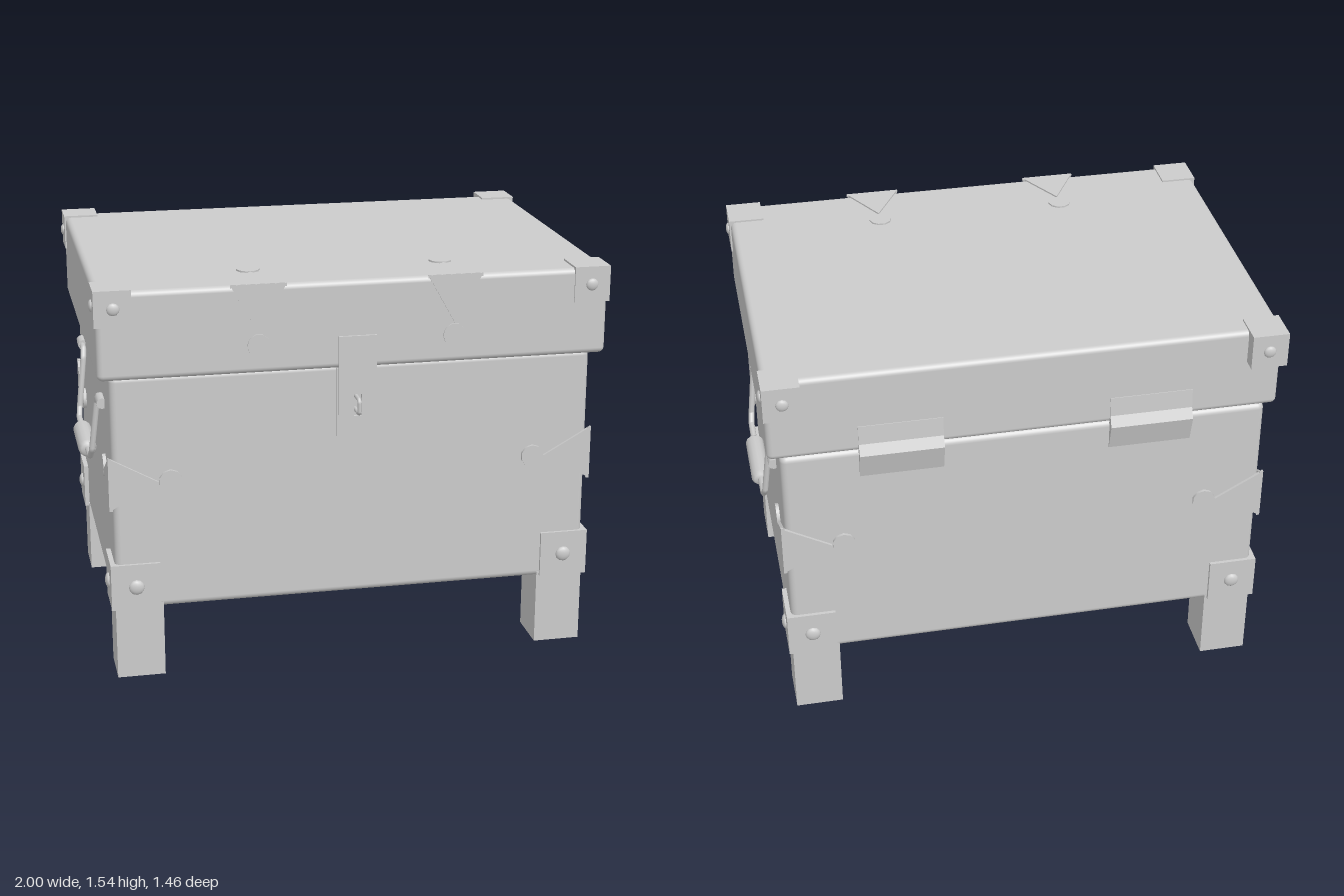
import * as THREE from 'three';
import { RoundedBoxGeometry } from 'three/addons/geometries/RoundedBoxGeometry.js';

const mat = new THREE.MeshStandardMaterial({ color: 0xcccccc, roughness: 0.7 });
const flat = new THREE.MeshStandardMaterial({ color: 0xcccccc, roughness: 0.7, flatShading: true });
const V = (x, y, z) => new THREE.Vector3(x, y, z);

export function createModel() {
  const root = new THREE.Group();
  root.name = 'chest';

  const add = (name, geo, pos = [0, 0, 0], material = mat, parent = root) => {
    const m = new THREE.Mesh(geo, material);
    m.name = name;
    m.position.set(...pos);
    parent.add(m);
    return m;
  };
  // Axis-aligned box given by its minimum and maximum corners
  const span = (name, a, b, radius = 0) => {
    const s = a.map((v, i) => Math.abs(b[i] - v));
    const geo = radius ? new RoundedBoxGeometry(...s, 3, radius) : new THREE.BoxGeometry(...s);
    return add(name, geo, a.map((v, i) => (v + b[i]) / 2));
  };
  const plate = (points, depth) => new THREE.ExtrudeGeometry(
    new THREE.Shape(points.map(p => new THREE.Vector2(...p))), { depth, bevelEnabled: false });

  // Main volumes
  span('body', [-0.92, 0.28, -0.665], [0.92, 1.205, 0.63], 0.025);
  span('lid', [-0.965, 1.2, -0.665], [0.965, 1.535, 0.675], 0.022);

  // Domed rivet whose pole points along dir
  const rivetGeo = new THREE.SphereGeometry(1, 12, 5, 0, Math.PI * 2, 0, Math.PI / 2);
  const rivet = (pos, dir, r) => {
    const m = add('rivet', rivetGeo, pos);
    m.scale.set(r, r * 0.5, r);
    m.quaternion.setFromUnitVectors(V(0, 1, 0), dir);
  };

  // Strap ornament: triangle with a disc beyond its tip, lying on a face
  const triGeo = plate([[0, -0.105], [0.187, 0], [0, 0.105]], 0.013);
  const discGeo = new THREE.CylinderGeometry(0.044, 0.044, 0.013, 10).rotateX(Math.PI / 2);
  const strap = (pos, dir, normal) => {
    const g = new THREE.Group();
    g.name = 'strapOrnament';
    add('strapTriangle', triGeo, [0, 0, 0], flat, g);
    add('strapDisc', discGeo, [0.233, 0, 0.0065], mat, g);
    g.quaternion.setFromRotationMatrix(
      new THREE.Matrix4().makeBasis(dir, normal.clone().cross(dir), normal));
    g.position.set(...pos);
    root.add(g);
  };

  for (const s of [-1, 1]) {
    for (const f of [1, -1]) {
      const front = f > 0;
      const out = V(0, 0, f), side = V(s, 0, 0);

      // Legs and body corner caps
      const legZ = front ? [0.445, 0.63] : [-0.665, -0.48];
      span('leg', [s * 0.74, 0, legZ[0]], [s * 0.923, 0.3, legZ[1]]);
      const capZ = front ? [0.457, 0.641] : [-0.678, -0.494];
      span('bodyCornerCap', [s * 0.75, 0.284, capZ[0]], [s * 0.938, 0.465, capZ[1]]);
      rivet([s * 0.842, 0.373, front ? 0.641 : -0.678], out, 0.03);
      rivet([s * 0.938, 0.373, front ? 0.547 : -0.582], side, 0.03);

      // Lid corner caps
      const lidZ = front ? [0.538, 0.681] : [-0.718, -0.582];
      span('lidCornerCap', [s * 0.833, 1.405, lidZ[0]], [s * 0.971, 1.542, lidZ[1]]);
      rivet([s * 0.9, 1.473, front ? 0.681 : -0.718], out, 0.024);
      rivet([s * 0.971, 1.473, front ? 0.61 : -0.645], side, 0.024);

      // Straps wrapping the upright edges
      const edgeZ = front ? 0.641 : -0.676;
      strap([s * 0.935, 0.79, edgeZ - f * 0.013], V(-s, 0, 0), out);
      strap([s * 0.922, 0.79, edgeZ], V(0, 0, -f), side);
    }

    // Straps wrapping the front edge of the lid
    strap([s * 0.37, 1.54, 0.668], V(0, -1, 0), V(0, 0, 1));
    strap([s * 0.37, 1.528, 0.68], V(0, 0, -1), V(0, 1, 0));

    // Folded hinge leaf: profile in (z, y), run along x
    const hinge = plate([[0.66, 1.31], [0.668, 1.31], [0.674, 1.235], [0.695, 1.195],
      [0.668, 1.09], [0.66, 1.09]], 0.315);
    hinge.rotateY(Math.PI / 2).translate(-0.1575, 0, 0);
    add('hinge', hinge, [s * 0.472, 0, 0], flat);

    // Side handle: bent bar, two sockets and a grip, centred on the body depth
    const handle = new THREE.Group();
    handle.name = 'handle';
    handle.position.set(0, 0, -0.018);
    root.add(handle);
    for (const f of [-1, 1]) {
      const bar = new THREE.CurvePath();
      const pts = [[0.932, 1.04, 0.38], [0.932, 1.038, 0.322], [0.936, 1.005, 0.294],
        [0.96, 0.8, 0.274], [0.965, 0.765, 0.245], [0.965, 0.756, 0.12]]
        .map(([x, y, z]) => V(s * x, y, f * z));
      for (let i = 1; i < pts.length; i++) bar.add(new THREE.LineCurve3(pts[i - 1], pts[i]));
      add('handleBar', new THREE.TubeGeometry(bar, 40, 0.012, 8), [0, 0, 0], mat, handle);
      add('handleSocket', new THREE.CylinderGeometry(0.021, 0.021, 0.08, 10).rotateX(Math.PI / 2),
        [s * 0.929, 1.04, f * 0.403], mat, handle);
    }
    const grip = [[0, -0.138], [0.025, -0.138], [0.036, -0.12], [0.036, 0.12], [0.025, 0.138], [0, 0.138]];
    add('handleGrip', new THREE.LatheGeometry(grip.map(p => new THREE.Vector2(...p)), 14).rotateX(Math.PI / 2),
      [s * 0.965, 0.756, 0], mat, handle);
  }

  // Hasp: slotted flap hanging from the lid over a pointed plate on the body
  const flap = new THREE.Shape([[-0.072, 1.325], [-0.072, 1.022], [0, 0.97], [0.072, 1.022], [0.072, 1.325]]
    .map(p => new THREE.Vector2(...p)));
  flap.holes.push(new THREE.Path([[-0.015, 1.015], [-0.015, 1.1], [0.015, 1.1], [0.015, 1.015]]
    .map(p => new THREE.Vector2(...p))));
  add('haspFlap', new THREE.ExtrudeGeometry(flap, { depth: 0.011, bevelEnabled: false }), [0, 0, 0.673], flat);
  add('haspPlate', plate([[-0.072, 1.19], [-0.072, 0.908], [0, 0.857], [0.072, 0.908], [0.072, 1.19]], 0.012),
    [0, 0, 0.626], flat);

  // Staple passing through the slot
  const loop = new THREE.CurvePath();
  const sp = [[1.03, 0.63], [1.03, 0.705], [1.04, 0.717], [1.073, 0.717], [1.084, 0.705], [1.084, 0.63]]
    .map(([y, z]) => V(0, y, z));
  for (let i = 1; i < sp.length; i++) loop.add(new THREE.LineCurve3(sp[i - 1], sp[i]));
  add('staple', new THREE.TubeGeometry(loop, 40, 0.008, 8));

  return root;
}
